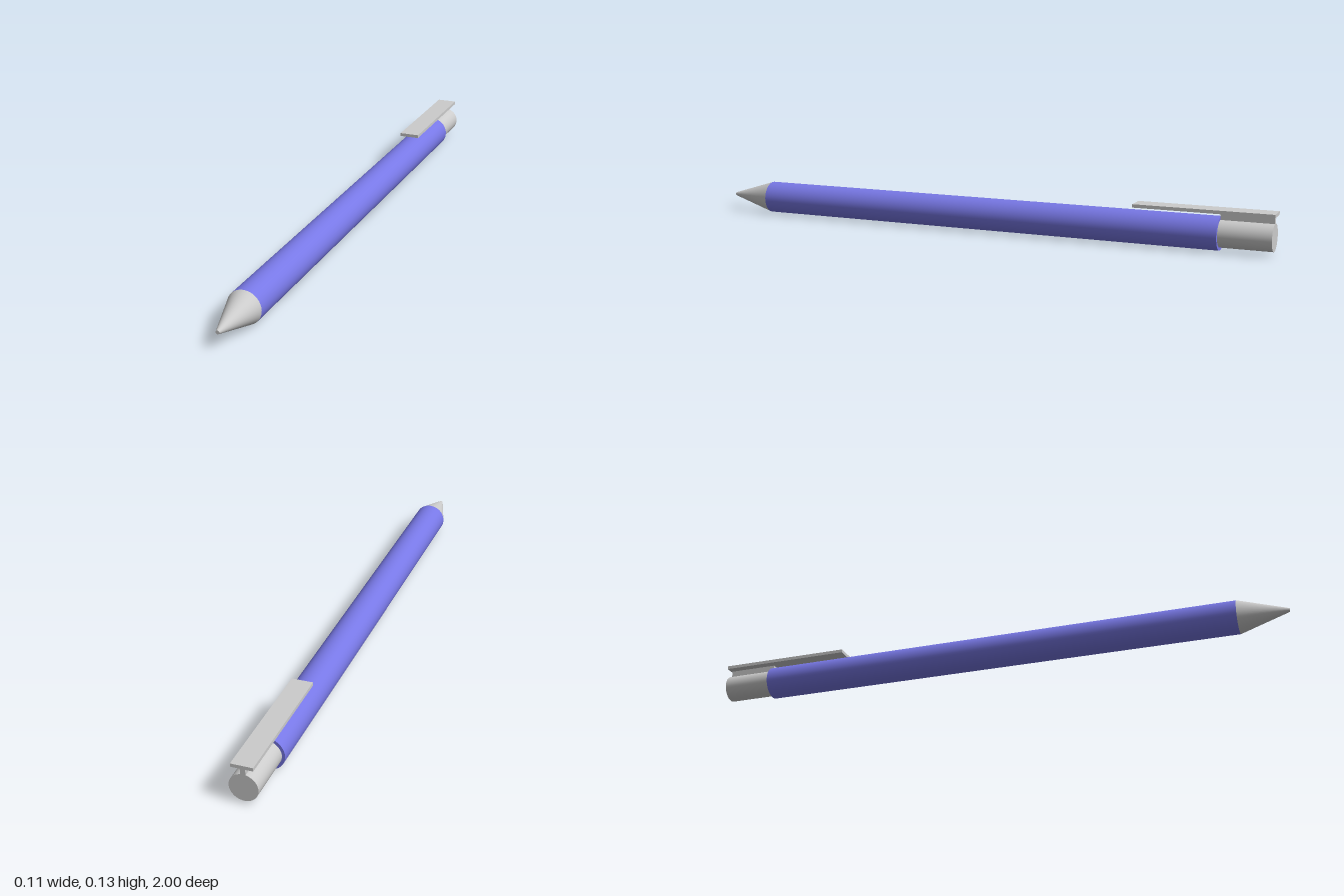
import * as THREE from 'three';

const RADIUS = 0.055;
const grey = new THREE.MeshStandardMaterial({ color: 0xcccccc });
const blue = new THREE.MeshStandardMaterial({ color: 0x7878e6 });

// Round part along z, from zBack to zFront, on the pen's axis
function roundPart(name, rFront, rBack, zFront, zBack, material) {
  const geometry = new THREE.CylinderGeometry(rFront, rBack, zFront - zBack, 48);
  geometry.rotateX(Math.PI / 2);
  const mesh = new THREE.Mesh(geometry, material);
  mesh.name = name;
  mesh.position.set(0, RADIUS, (zFront + zBack) / 2);
  return mesh;
}

// Box centred on x, given by its y and z limits
function boxPart(name, width, y0, y1, z0, z1) {
  const mesh = new THREE.Mesh(new THREE.BoxGeometry(width, y1 - y0, z1 - z0), grey);
  mesh.name = name;
  mesh.position.set(0, (y0 + y1) / 2, (z0 + z1) / 2);
  return mesh;
}

export function createModel() {
  const pen = new THREE.Group();
  pen.name = 'pen';

  // Barrel with the tapered writing tip and the narrower push button
  pen.add(
    roundPart('barrel', RADIUS, RADIUS, 0.838, -0.825, blue),
    roundPart('tip', 0.006, RADIUS, 1, 0.838, grey),
    roundPart('button', 0.045, 0.045, -0.825, -0.995, grey)
  );

  // Flat clip carried on a thin rib above the button
  const clip = new THREE.Group();
  clip.name = 'clip';
  clip.add(
    boxPart('clipRib', 0.016, 0.095, 0.123, -0.995, -0.825),
    boxPart('clipPlate', 0.069, 0.122, 0.133, -1, -0.545)
  );
  pen.add(clip);
  return pen;
}
